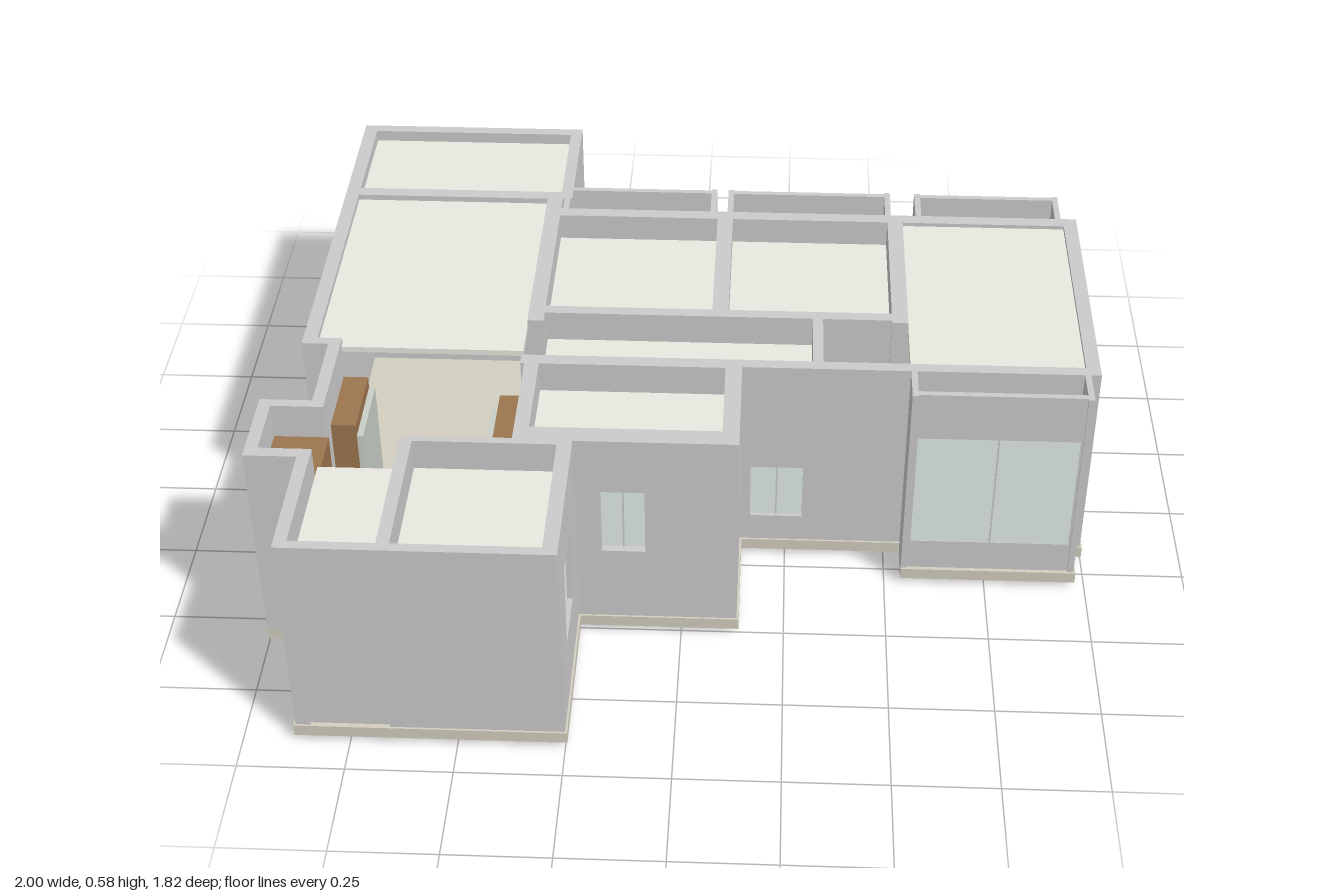
import * as THREE from 'three';

const mat = (color, extra = {}) => new THREE.MeshStandardMaterial({ color, ...extra });

export function createModel() {
  const model = new THREE.Group();
  const wallMat = mat(0xcccccc), slabMat = mat(0xd3cfbf), ceilMat = mat(0xe9e8e0);
  const glassMat = mat(0xe2eced), woodMat = mat(0x9c7550), floorMat = mat(0xc9cec6);
  const TOP = 0.58, BASE = 0.045;

  // Axis-aligned block given by its extents
  const block = (name, m, x0, x1, y0, y1, z0, z1, parent = model) => {
    const mesh = new THREE.Mesh(new THREE.BoxGeometry(x1 - x0, y1 - y0, z1 - z0), m);
    mesh.position.set((x0 + x1) / 2, (y0 + y1) / 2, (z0 + z1) / 2);
    mesh.name = name;
    parent.add(mesh);
    return mesh;
  };

  // Wall with a glazed opening; a0..a1 is the opening along the wall's long direction
  const windowWall = (name, x0, x1, z0, z1, a0, a1, b0, b1, y0 = BASE, fill = glassMat, mullion = true) => {
    const g = new THREE.Group();
    g.name = name;
    model.add(g);
    const alongX = x1 - x0 > z1 - z0;
    const [s, e, t0, t1] = alongX ? [x0, x1, z0, z1] : [z0, z1, x0, x1];
    const part = (n, m, p, q, v0, v1, u0 = t0, u1 = t1) => alongX
      ? block(n, m, p, q, v0, v1, u0, u1, g) : block(n, m, u0, u1, v0, v1, p, q, g);
    if (a0 > s) part('pier', wallMat, s, a0, y0, TOP);
    if (e > a1) part('pier', wallMat, a1, e, y0, TOP);
    part('lintel', wallMat, a0, a1, b1, TOP);
    if (b0 > y0) part('sill', wallMat, a0, a1, y0, b0);
    const mid = (t0 + t1) / 2, c = (a0 + a1) / 2;
    part('pane', fill, a0, a1, b0, b1, mid - 0.005, mid + 0.005);
    if (mullion) part('mullion', wallMat, c - 0.002, c + 0.002, b0, b1, mid - 0.007, mid + 0.007);
  };

  // Floor slabs, one per wing, slightly wider than the walls
  [
    [-0.94, -0.335, -0.91, -0.55, 0, 0.03], [-0.94, -0.36, -0.56, 0.14], [-0.88, -0.36, 0.13, 0.53],
    [-1, -0.84, 0.365, 0.585], [-0.88, -0.245, 0.5, 0.91], [-0.39, 0.14, 0.16, 0.505],
    [-0.4, 0.56, -0.51, 0.2], [0.53, 1, -0.505, 0.2], [0.54, 0.975, 0.19, 0.3],
    [-0.34, 0.05, -0.61, -0.5], [0.08, 0.51, -0.61, -0.5], [0.575, 0.955, -0.61, -0.5],
  ].forEach(([x0, x1, z0, z1, y0 = 0.015, y1 = BASE]) => block('floorSlab', slabMat, x0, x1, y0, y1, z0, z1));

  // Floor finish in the uncovered halls
  block('entranceFloor', floorMat, -0.845, -0.38, 0.04, 0.05, 0.13, 0.52);
  block('hallFloor', floorMat, 0.33, 0.54, 0.04, 0.05, -0.005, 0.165);

  // Plain full-height walls: x0, x1, z0, z1
  [
    [-0.94, -0.905, -0.56, 0.14], [-0.905, -0.365, -0.58, -0.545], [-0.40, -0.36, -0.565, 0.02],
    [-0.94, -0.845, 0.115, 0.14], [-0.875, -0.845, 0.14, 0.395],
    [-1, -0.845, 0.37, 0.395], [-1, -0.97, 0.395, 0.555], [-1, -0.845, 0.555, 0.585], [-0.875, -0.845, 0.555, 0.88],
    [-0.65, -0.62, 0.5, 0.88], [-0.63, -0.25, 0.495, 0.515], [-0.39, -0.355, 0.165, 0.5],
    [0.095, 0.135, 0.165, 0.5], [-0.40, 0.135, 0.165, 0.2],
    [-0.36, 0.54, -0.045, -0.015], [0.305, 0.33, -0.02, 0.165],
    [0.055, 0.095, -0.5, -0.03], [0.5, 0.54, -0.5, -0.005],
    [0.96, 0.995, -0.5, 0.195],
  ].forEach(([x0, x1, z0, z1]) => block('wall', wallMat, x0, x1, BASE - 0.005, TOP, z0, z1));

  // Walls of the deep rear wing
  block('rearWingWall', wallMat, -0.94, -0.905, 0.03, TOP, -0.91, -0.56);
  block('rearWingWall', wallMat, -0.365, -0.335, 0.03, TOP, -0.91, -0.55);
  windowWall('rearWingWindow', -0.905, -0.365, -0.91, -0.88, -0.9, -0.37, 0.12, 0.49, 0.03);

  // Walls with small windows, and the entrance door
  windowWall('sideWindow', -0.285, -0.25, 0.515, 0.905, 0.63, 0.785, 0.21, 0.435);
  windowWall('kitchenWindow', -0.355, 0.135, 0.45, 0.5, -0.19, -0.085, 0.25, 0.43);
  windowWall('hallWindow', 0.135, 0.54, 0.165, 0.195, 0.16, 0.29, 0.12, 0.275);
  windowWall('entranceDoor', -0.875, -0.25, 0.88, 0.905, -0.84, -0.655, BASE, 0.46, BASE, wallMat, false);

  // Bays: cheeks, glazed front and sunken top; dir is the outward z direction
  const bay = (x0, x1, zIn, zOut, g0 = x0 + 0.02, g1 = x1 - 0.02, topFrom = zIn) => {
    const lo = Math.min(zIn, zOut), hi = Math.max(zIn, zOut), dir = Math.sign(zOut - zIn);
    block('bayCheek', wallMat, x0, x0 + 0.015, BASE, TOP, lo, hi);
    block('bayCheek', wallMat, x1 - 0.015, x1, BASE, TOP, lo, hi);
    const f = [zOut - dir * 0.02, zOut - dir * 0.005].sort((a, b) => a - b);
    windowWall('bayWindow', x0 + 0.015, x1 - 0.015, f[0], f[1], g0, g1, 0.13, 0.45);
    const t = [topFrom, zOut - dir * 0.015].sort((a, b) => a - b);
    block('bayTop', wallMat, x0 + 0.01, x1 - 0.01, 0.49, 0.51, t[0], t[1]);
  };
  bay(-0.355, 0.05, -0.49, -0.61, -0.25, 0.035, -0.55);
  bay(0.08, 0.51, -0.49, -0.61);
  bay(0.575, 0.955, -0.49, -0.61);
  bay(0.54, 0.97, 0.185, 0.295);

  // Beams and short piers where the bays open into rooms
  [[-0.36, 0.06], [0.09, 0.5], [0.54, 0.96]].forEach(([x0, x1]) =>
    block('bayBeam', wallMat, x0, x1, 0.45, TOP, -0.5, -0.465));
  block('bayBeam', wallMat, 0.54, 0.96, 0.45, TOP, 0.165, 0.195);
  [[0.5, 0.58, -0.5, -0.465], [0.94, 0.995, -0.5, -0.465]].forEach(([x0, x1, z0, z1]) =>
    block('bayPier', wallMat, x0, x1, BASE, TOP, z0, z1));

  // Ceilings, sunk below the wall tops: x0, x1, z0, z1, height
  [
    [-0.905, -0.365, -0.88, -0.58, 0.55], [-0.905, -0.4, -0.545, 0.13, 0.565],
    [-0.36, 0.06, -0.465, -0.045, 0.51], [0.09, 0.5, -0.465, -0.045, 0.51],
    [0.54, 0.96, -0.465, 0.165, 0.57], [-0.355, 0.305, -0.015, 0.165, 0.5],
    [-0.355, 0.095, 0.2, 0.45, 0.5], [-0.845, -0.65, 0.52, 0.88, 0.5], [-0.62, -0.285, 0.515, 0.88, 0.5],
  ].forEach(([x0, x1, z0, z1, y]) => block('ceiling', ceilMat, x0, x1, y - 0.015, y, z0, z1));

  // Wooden cabinets, two with a narrow front panel
  block('bayCabinet', woodMat, -0.34, 0.035, BASE, 0.49, -0.55, -0.5);
  block('alcoveCabinet', woodMat, -0.97, -0.84, BASE, 0.49, 0.395, 0.545);
  block('hallCabinet', woodMat, -0.84, -0.78, BASE, 0.5, 0.165, 0.36);
  block('hallCabinetFront', floorMat, -0.78, -0.765, BASE, 0.47, 0.165, 0.36);
  block('tallCabinet', woodMat, -0.45, -0.39, BASE, 0.5, 0.225, 0.475);
  block('tallCabinetFront', floorMat, -0.47, -0.45, BASE, 0.47, 0.225, 0.475);

  return model;
}
